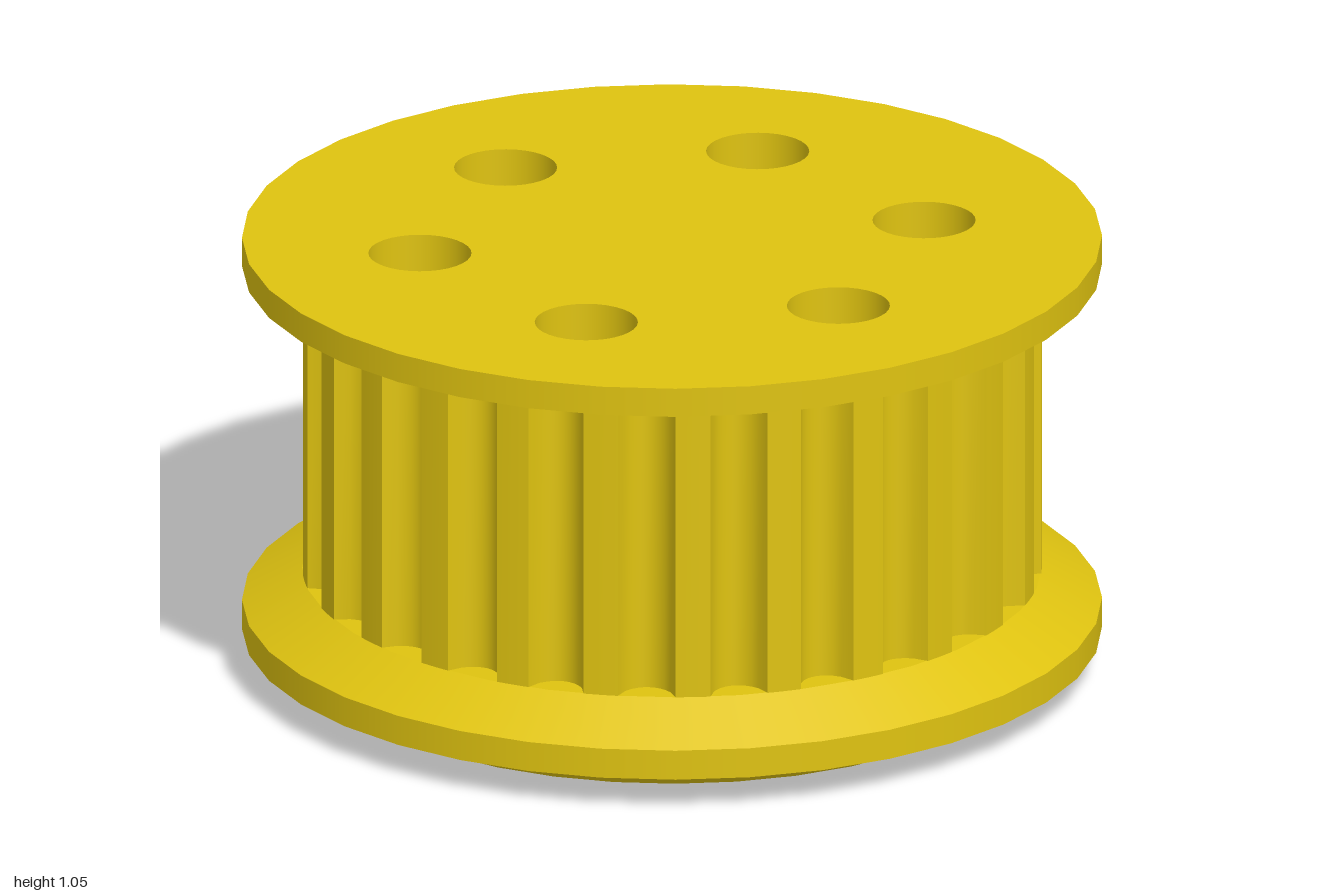
import * as THREE from 'three';
import { toCreasedNormals } from 'three/addons/utils/BufferGeometryUtils.js';

const TEETH = 25, STEPS = 16;      // teeth around the drum, wall segments per tooth
const HOLES = 6, HOLE_R = 0.12, HOLE_RING = 0.596;
const SIDES = 36;

export function createModel() {
  const group = new THREE.Group();
  const yellow = new THREE.MeshStandardMaterial({ color: 0xdfc310 });
  yellow.name = 'yellow';

  const add = (name, geometry) => {
    const mesh = new THREE.Mesh(geometry, yellow);
    mesh.name = name;
    group.add(mesh);
    return mesh;
  };

  // One band of revolution; points running upward face outward, downward face inward
  const band = (name, r0, y0, r1, y1, sides = SIDES) =>
    add(name, new THREE.LatheGeometry([new THREE.Vector2(r0, y0), new THREE.Vector2(r1, y1)], sides));

  const holeCentre = (i) => {
    const a = (i / HOLES) * Math.PI * 2;
    return [HOLE_RING * Math.cos(a), HOLE_RING * Math.sin(a)];
  };

  // Flat disc pierced by the ring of holes, facing up or down
  const disc = (name, r, y, up) => {
    const shape = new THREE.Shape();
    for (let i = 0; i < SIDES; i++) {
      const a = (i / SIDES) * Math.PI * 2;
      shape[i ? 'lineTo' : 'moveTo'](r * Math.cos(a), r * Math.sin(a));
    }
    shape.closePath();
    for (let i = 0; i < HOLES; i++) {
      const [x, z] = holeCentre(i);
      shape.holes.push(new THREE.Path().absarc(x, z, HOLE_R, 0, Math.PI * 2, true));
    }
    const g = new THREE.ShapeGeometry(shape, 16);
    g.rotateX(up ? -Math.PI / 2 : Math.PI / 2).translate(0, y, 0);
    add(name, g);
  };

  // Top flange
  disc('topFlangeFace', 1, 1.05, true);
  band('topFlangeRim', 1, 0.98, 1, 1.05);
  disc('topFlangeUnderside', 1, 0.98, false);

  // Toothed drum: cylinder wall with rounded grooves pressed in, one centred on the front
  const wall = new THREE.CylinderGeometry(0.86, 0.86, 0.75, TEETH * STEPS, 1, true);
  const pos = wall.attributes.position;
  const halfGroove = 5 / 16;
  for (let i = 0; i < pos.count; i++) {
    const x = pos.getX(i), z = pos.getZ(i);
    const turn = (Math.atan2(x, z) / (Math.PI * 2)) * TEETH;
    const u = (turn - Math.round(turn)) / halfGroove;
    const depth = 0.065 * Math.pow(Math.max(0, 1 - u * u), 0.6);
    const s = (0.86 - depth) / 0.86;
    pos.setXYZ(i, x * s, pos.getY(i) + 0.605, z * s);
  }
  add('toothedDrum', toCreasedNormals(wall, 0.5));

  // Bottom flange with sloped shoulder and chamfered foot
  disc('shoulderLedge', 0.86, 0.23, true);
  band('shoulderSlope', 1, 0.15, 0.86, 0.23);
  band('bottomFlangeRim', 1, 0.078, 1, 0.15);
  const under = new THREE.RingGeometry(0.89, 1, SIDES);
  under.rotateX(Math.PI / 2).translate(0, 0.078, 0);
  add('bottomFlangeUnderside', under);
  band('footChamfer', 0.82, 0, 0.89, 0.078);
  disc('footFace', 0.82, 0, false);

  // Through holes
  for (let i = 0; i < HOLES; i++) {
    const [x, z] = holeCentre(i);
    band('throughHole', HOLE_R, 1.05, HOLE_R, 0, 32).position.set(x, 0, z);
  }
  return group;
}
